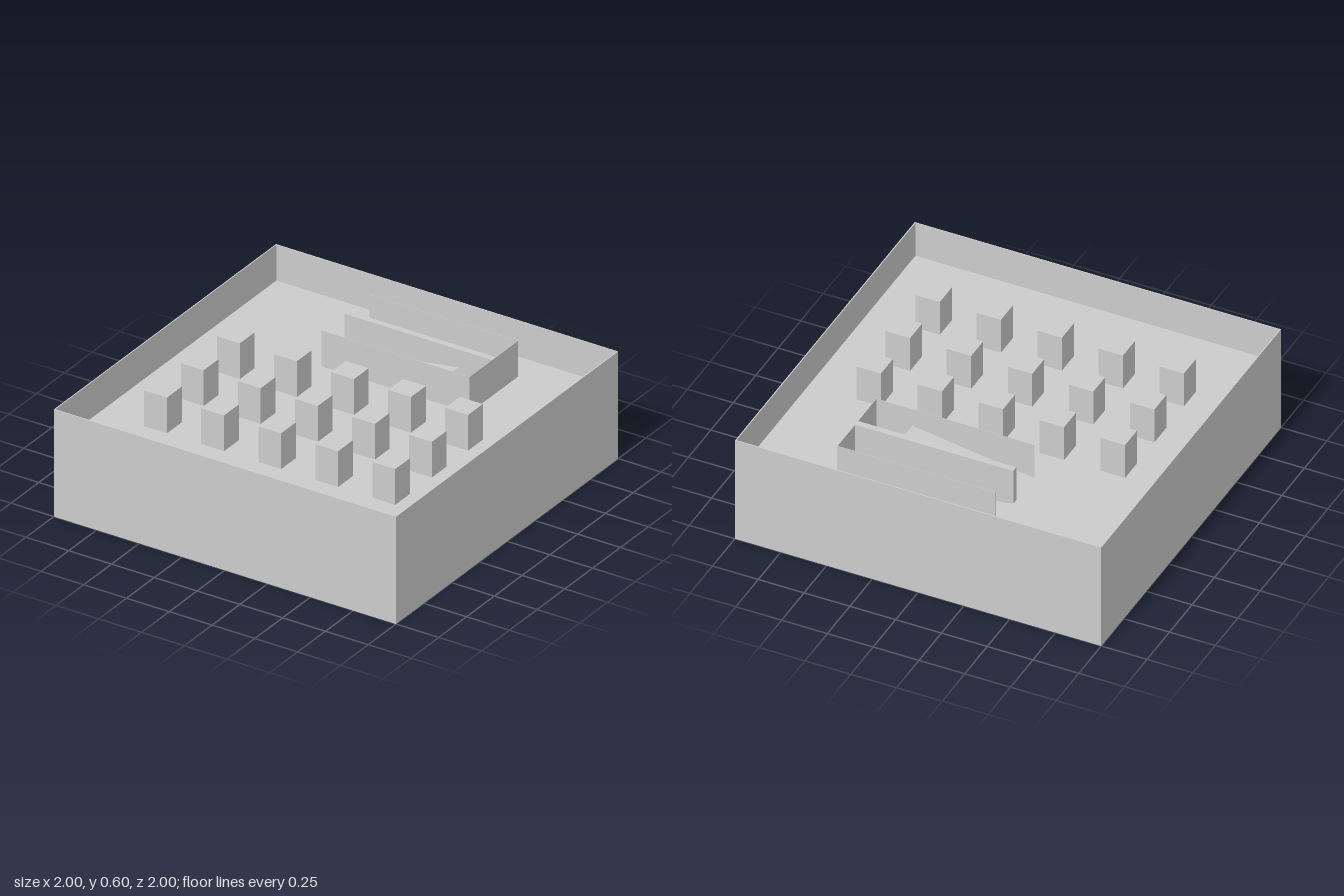
import * as THREE from 'three';

export function createModel() {
  const model = new THREE.Group();
  const mat = new THREE.MeshStandardMaterial({ color: 0xcccccc, flatShading: true, side: THREE.DoubleSide });
  const T = 0.006; // thin wall thickness
  const FLOOR = 0.4, TOP = 0.6;

  const add = (name, geo, parent = model) => {
    const mesh = new THREE.Mesh(geo, mat);
    mesh.name = name;
    parent.add(mesh);
    return mesh;
  };
  // Box given by its extents on each axis
  const box = (name, x0, x1, y0, y1, z0, z1, parent) =>
    add(name, new THREE.BoxGeometry(x1 - x0, y1 - y0, z1 - z0), parent)
      .position.set((x0 + x1) / 2, (y0 + y1) / 2, (z0 + z1) / 2);

  // Outer shell
  box('base', -1, 1, 0, T, -1, 1);
  for (const s of [-1, 1]) {
    const a = s > 0 ? 1 - T : -1, b = a + T;
    box(s > 0 ? 'leftWall' : 'rightWall', a, b, 0, TOP, -1, 1);
    box(s > 0 ? 'frontWall' : 'backWall', -1, 1, 0, TOP, a, b);
  }

  // Ramp enclosure limits
  const X0 = -0.335, X1 = 0.333, X2 = 0.53;
  const ZB = -0.82, ZM0 = -0.624, ZM1 = -0.59, ZF = -0.385;

  // Upper deck with an opening for the descending lane
  const rect = (path, x0, x1, z0, z1) =>
    path.moveTo(x0, -z0).lineTo(x1, -z0).lineTo(x1, -z1).lineTo(x0, -z1).closePath();
  const deck = rect(new THREE.Shape(), -1 + T, 1 - T, -1 + T, 1 - T);
  deck.holes.push(rect(new THREE.Path(), X0, X2, ZB, ZM0));
  const deckGeo = new THREE.ExtrudeGeometry(deck, { depth: 0.02, bevelEnabled: false });
  deckGeo.rotateX(-Math.PI / 2);
  add('deck', deckGeo).position.y = FLOOR - 0.02;

  // Ramp parapets
  const ramps = new THREE.Group();
  ramps.name = 'ramps';
  model.add(ramps);
  box('rearParapet', X0, X2, 0.28, TOP, ZB, ZB + 0.002, ramps);
  box('middleParapet', X0, X2, 0.28, TOP, ZM0, ZM1, ramps);
  box('frontParapet', X0, X2, FLOOR, TOP, ZF - 0.002, ZF, ramps);
  box('endParapet', X2 - 0.002, X2, 0.28, TOP, ZB, ZF, ramps);

  // Sloping lanes: one climbs from the deck, the other drops to a landing
  const slope = (name, yEnd, z0, z1) => {
    const geo = new THREE.PlaneGeometry(X1 - X0, z1 - z0).rotateX(-Math.PI / 2);
    geo.translate((X0 + X1) / 2, 0, (z0 + z1) / 2);
    const p = geo.attributes.position;
    for (let i = 0; i < p.count; i++) p.setY(i, p.getX(i) > 0 ? yEnd : FLOOR);
    geo.computeVertexNormals();
    add(name, geo, ramps);
  };
  slope('upRamp', 0.5, ZM1, ZF);
  slope('downRamp', 0.3, ZB, ZM0);
  box('lowerLanding', X1, X2, 0.28, 0.3, ZB, ZM0, ramps);

  // Grid of square columns
  const columns = new THREE.Group();
  columns.name = 'columns';
  model.add(columns);
  const h = 0.0667;
  for (const z of [-0.125, 0.2, 0.53])
    for (let i = -2; i <= 2; i++)
      box('column', i / 3 - h, i / 3 + h, FLOOR, TOP, z - h, z + h, columns);

  return model;
}
